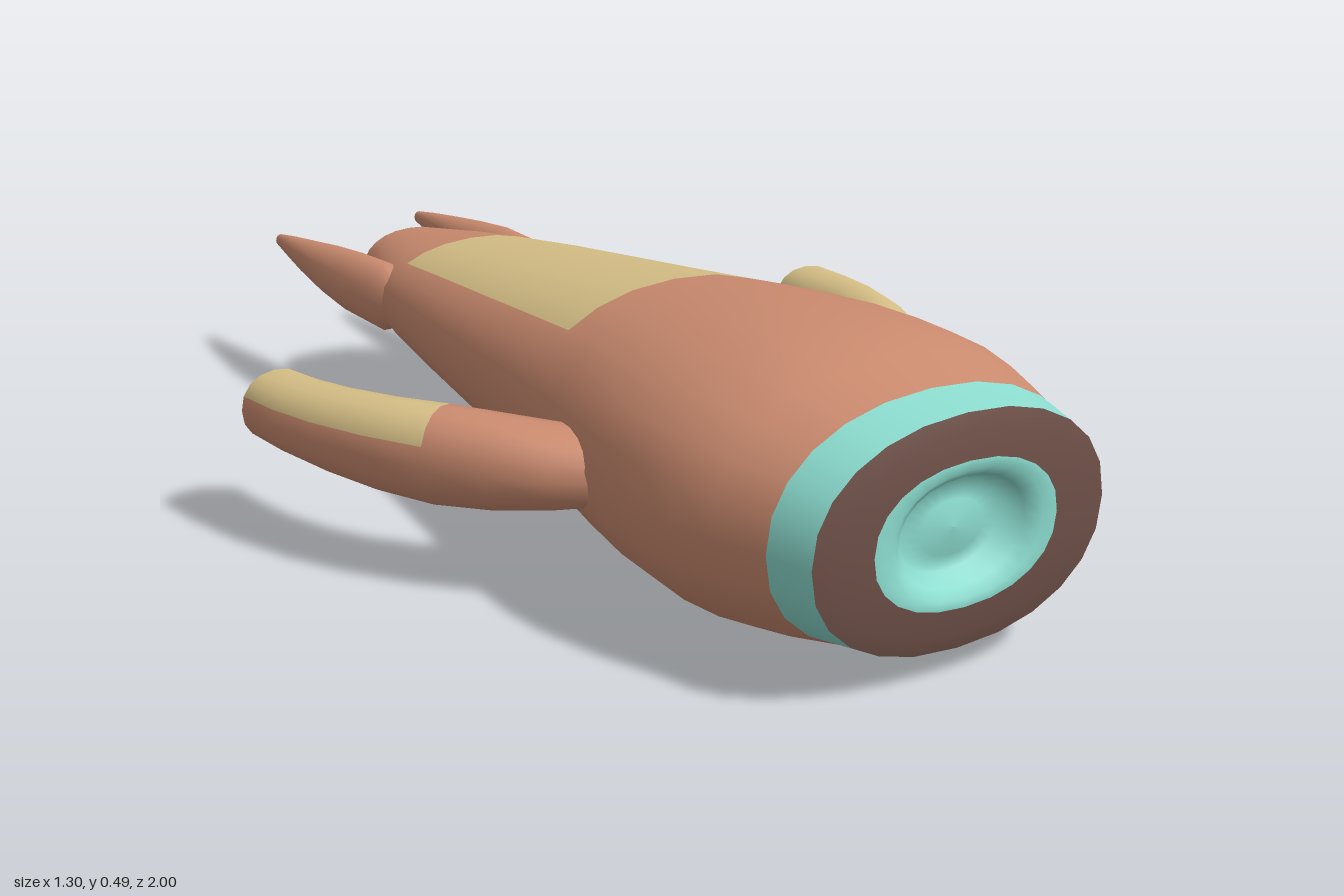
import * as THREE from 'three';

const mat = (name, color) => new THREE.MeshStandardMaterial({ name, color, side: THREE.DoubleSide });

// Rounded cross-section ring: centre c, side axis u (horizontal), half width rx, half height ry
function ring(c, u, rx, ry, sides, power = 2.2) {
  const points = [];
  for (let j = 0; j < sides; j++) {
    const a = (j / sides) * Math.PI * 2;
    const bend = (v) => Math.sign(v) * Math.pow(Math.abs(v), 2 / power);
    const p = c.clone().addScaledVector(u, rx * bend(Math.cos(a)));
    p.y += ry * bend(Math.sin(a));
    points.push(p);
  }
  return points;
}

// Skin a list of rings; pick(i, j) returns the material index of each quad
function loft(name, rings, materials, pick) {
  const n = rings[0].length;
  const faces = materials.map(() => []);
  for (let i = 0; i < rings.length - 1; i++) {
    for (let j = 0; j < n; j++) {
      const k = (j + 1) % n;
      const a = i * n + j, b = i * n + k, c = a + n, d = b + n;
      faces[pick(i, j)].push(a, c, b, b, c, d);
    }
  }
  const geometry = new THREE.BufferGeometry().setFromPoints(rings.flat());
  geometry.setIndex(faces.flat());
  let start = 0;
  faces.forEach((f, m) => {
    if (f.length) geometry.addGroup(start, f.length, m);
    start += f.length;
  });
  geometry.computeVertexNormals();
  const mesh = new THREE.Mesh(geometry, materials);
  mesh.name = name;
  return mesh;
}

export function createModel() {
  const skin = mat('salmon skin', 0xcc8c70);
  const teal = mat('teal', 0x8cdccf);
  const sand = mat('sand patch', 0xd8c188);
  const brown = mat('dark brown face', 0x6e5048);
  const model = new THREE.Group();
  model.name = 'creature';
  const X = new THREE.Vector3(1, 0, 0);

  // Body: z, half width, bottom y, top y
  const sections = [
    [0.985, 0.287, 0.052, 0.438], [0.9, 0.308, 0.04, 0.452], [0.8, 0.342, 0.018, 0.474],
    [0.72, 0.36, 0.005, 0.485], [0.63, 0.365, 0, 0.488], [0.52, 0.358, 0.006, 0.484],
    [0.4, 0.337, 0.018, 0.474], [0.3, 0.315, 0.029, 0.463], [0.21, 0.298, 0.041, 0.451],
    [0.05, 0.274, 0.064, 0.43], [-0.12, 0.252, 0.089, 0.408], [-0.3, 0.226, 0.114, 0.385],
    [-0.49, 0.195, 0.142, 0.357], [-0.6, 0.158, 0.157, 0.342], [-0.7, 0.117, 0.173, 0.325],
    [-0.74, 0.105, 0.18, 0.318],
  ];
  const bodyRings = sections.map(([z, w, lo, hi]) =>
    ring(new THREE.Vector3(0, (lo + hi) / 2, z), X, w, (hi - lo) / 2, 24));
  model.add(loft('body', bodyRings, [skin, teal, sand], (i, j) => {
    if (i === 0) return 1; // collar
    return i >= 8 && i < 12 && j >= 3 && j < 9 ? 2 : 0; // back patch
  }));

  // Face with a shallow mouth, listed from the middle outwards: z, half width, half height
  const face = [
    [0.965, 0.001, 0.001], [0.96, 0.06, 0.045], [0.95, 0.1, 0.075], [0.985, 0.125, 0.09],
    [1, 0.15, 0.105], [0.998, 0.18, 0.12], [0.994, 0.24, 0.165], [0.985, 0.287, 0.193],
  ].map(([z, w, h]) => ring(new THREE.Vector3(0, 0.245, z), X, w, h, 24));
  model.add(loft('face', face, [teal, brown], (i) => (i < 5 ? 0 : 1)));

  for (const side of [1, -1]) {
    const label = side > 0 ? 'left' : 'right';

    // Curved arm, open at its end: x, z, half width, half height
    const armPath = [
      [0.27, 0.43, 0.075, 0.06], [0.345, 0.37, 0.083, 0.07], [0.41, 0.3, 0.078, 0.08],
      [0.47, 0.215, 0.074, 0.085], [0.52, 0.115, 0.071, 0.08], [0.555, 0.01, 0.07, 0.073],
      [0.573, -0.08, 0.07, 0.067], [0.582, -0.177, 0.069, 0.062],
    ];
    const armRings = armPath.map(([x, z, w, h], i) => {
      const p = armPath[Math.max(i - 1, 0)], q = armPath[Math.min(i + 1, armPath.length - 1)];
      const u = new THREE.Vector3(p[1] - q[1], 0, side * (q[0] - p[0])).normalize();
      return ring(new THREE.Vector3(side * x, 0.229 - 0.008 * (i / 7), z), u, w, h, 16);
    });
    model.add(loft(label + 'Arm', armRings, [skin, sand],
      (i, j) => (i >= 3 && j >= 1 && j < 7 ? 1 : 0)));

    // Pointed tail spike: z, x, half width, half height
    const spike = [
      [-0.49, 0.155, 0.02, 0.04], [-0.54, 0.16, 0.042, 0.068], [-0.65, 0.167, 0.049, 0.062],
      [-0.75, 0.167, 0.046, 0.05], [-0.86, 0.167, 0.032, 0.034], [-0.94, 0.165, 0.019, 0.022],
      [-0.995, 0.164, 0.01, 0.012], [-1, 0.164, 0.001, 0.001],
    ].map(([z, x, w, h]) =>
      ring(new THREE.Vector3(side * x, 0.25 + (-0.49 - z) * 0.015, z), X, w, h, 14, 2));
    model.add(loft(label + 'TailSpike', spike, [skin], () => 0));
  }
  return model;
}
